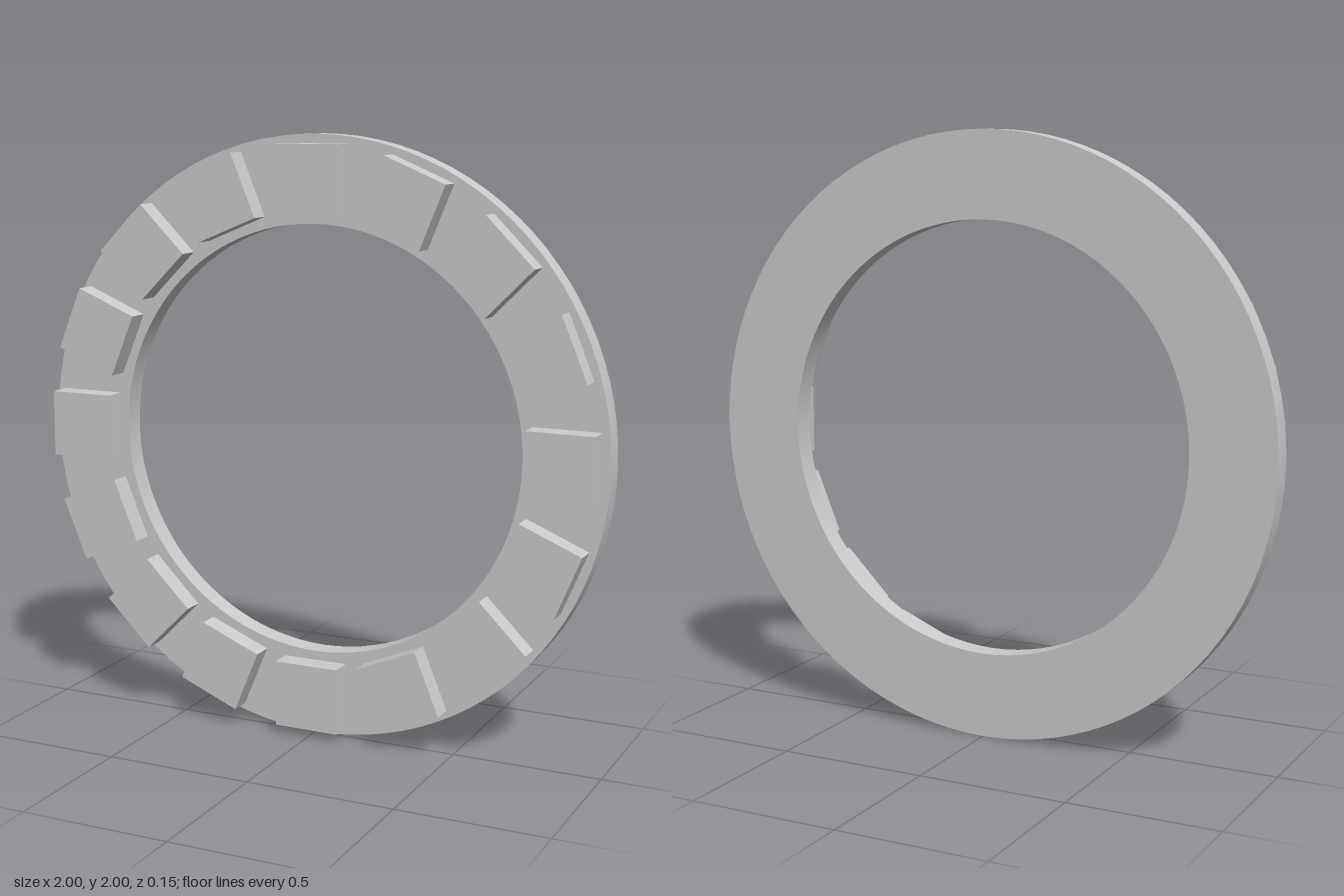
import * as THREE from 'three';
import { toCreasedNormals } from 'three/addons/utils/BufferGeometryUtils.js';

const OUTER = 1, INNER = 0.715, DEPTH = 0.074;
const PADS = 16, PAD_SIZE = 0.224, PAD_RADIUS = 0.858;

export function createModel() {
  const model = new THREE.Group();
  model.name = 'paddedRing';
  const material = new THREE.MeshStandardMaterial({ color: 0xcccccc });

  // Flat backing ring with smooth rims and sharp edges
  const shape = new THREE.Shape().absarc(0, 0, OUTER, 0, Math.PI * 2, false);
  shape.holes.push(new THREE.Path().absarc(0, 0, INNER, 0, Math.PI * 2, true));
  const ringGeometry = new THREE.ExtrudeGeometry(shape, {
    depth: DEPTH, bevelEnabled: false, curveSegments: 48,
  });
  const ring = new THREE.Mesh(toCreasedNormals(ringGeometry, 0.6), material);
  ring.name = 'backingRing';
  ring.position.set(0, 1, -DEPTH);
  model.add(ring);

  // Square pads evenly spaced around the front face
  const pads = new THREE.Group();
  pads.name = 'pads';
  pads.position.y = 1;
  const padGeometry = new THREE.BoxGeometry(PAD_SIZE, PAD_SIZE, DEPTH);
  for (let i = 0; i < PADS; i++) {
    const angle = (i / PADS) * Math.PI * 2;
    const pad = new THREE.Mesh(padGeometry, material);
    pad.name = `pad${i + 1}`;
    pad.position.set(Math.cos(angle) * PAD_RADIUS, Math.sin(angle) * PAD_RADIUS, DEPTH / 2);
    pad.rotation.z = angle;
    pads.add(pad);
  }
  model.add(pads);

  return model;
}
